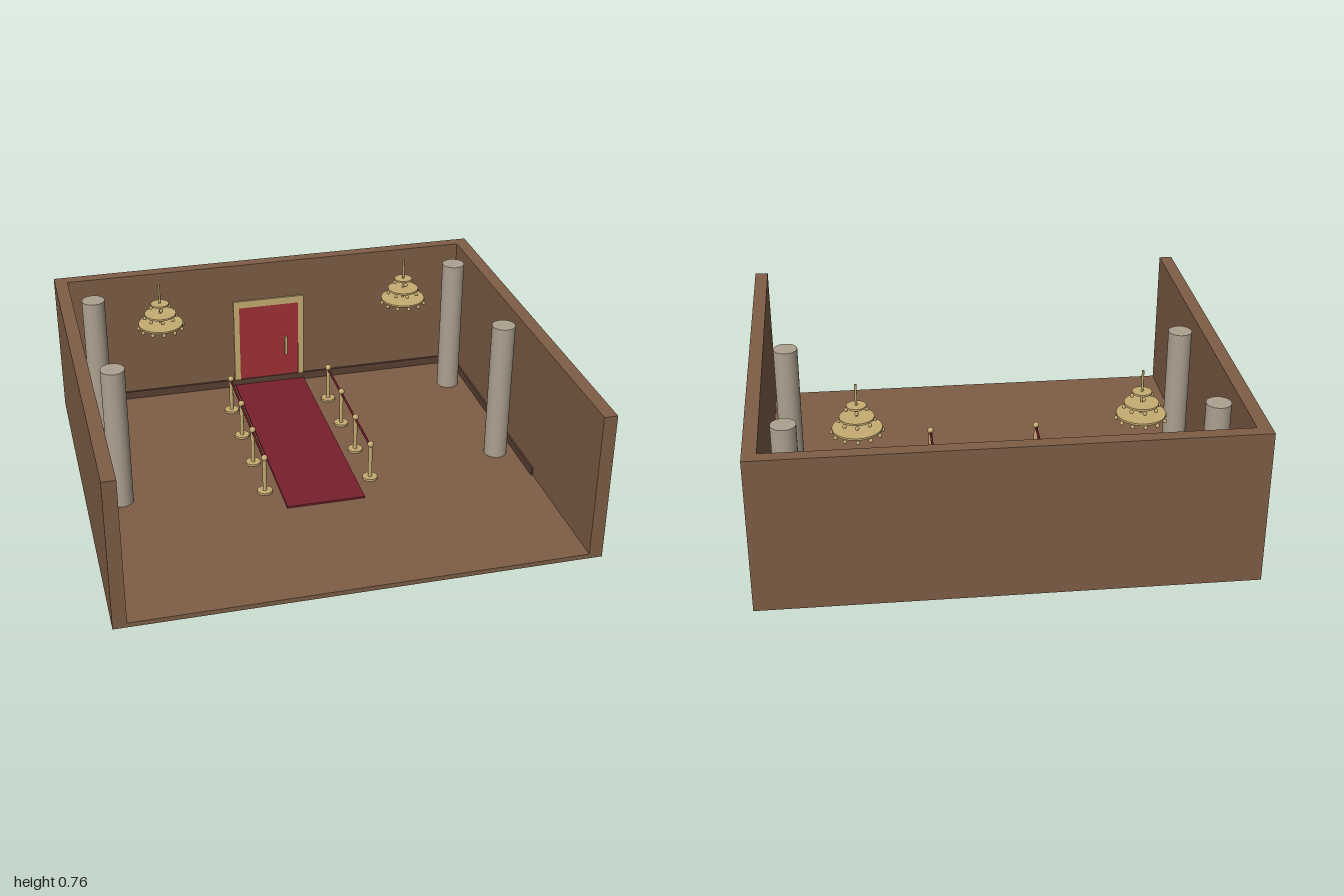
import * as THREE from 'three';

const mat = (name, color) => {
  const m = new THREE.MeshStandardMaterial({ color });
  m.name = name;
  return m;
};

export function createModel() {
  const brown = mat('wall brown', 0x7d5d46);
  const dark = mat('skirting brown', 0x593f31);
  const gold = mat('brass', 0xc6ac72);
  const stone = mat('pillar stone', 0xada190);
  const carpetRed = mat('carpet red', 0x78202c);
  const doorRed = mat('door red', 0x9f3136);
  const ropeRed = mat('rope red', 0x6b1a22);

  const model = new THREE.Group();
  model.name = 'entranceHall';

  const add = (parent, name, geometry, material, x, y, z) => {
    const mesh = new THREE.Mesh(geometry, material);
    mesh.name = name;
    mesh.position.set(x, y, z);
    parent.add(mesh);
    return mesh;
  };
  // Box given by its lower and upper limits on each axis
  const box = (parent, name, material, x0, x1, y0, y1, z0, z1) =>
    add(parent, name, new THREE.BoxGeometry(x1 - x0, y1 - y0, z1 - z0), material,
      (x0 + x1) / 2, (y0 + y1) / 2, (z0 + z1) / 2);
  // Upright cylinder standing on y0
  const post = (parent, name, material, r, x, y0, y1, z, seg = 20) =>
    add(parent, name, new THREE.CylinderGeometry(r, r, y1 - y0, seg), material, x, (y0 + y1) / 2, z);

  const floorY = 0.02, top = 0.66, depth = 0.905, inner = 0.943, back = -0.85;

  // Room shell, open at the front and above
  box(model, 'floor', brown, -inner, inner, 0, floorY, back, depth);
  box(model, 'backWall', brown, -1, 1, 0, top, -depth, back);
  box(model, 'backSkirting', dark, -inner, inner, floorY, 0.056, back, back + 0.01);
  for (const s of [-1, 1]) {
    const side = s < 0 ? 'right' : 'left';
    const span = (a, b) => (s < 0 ? [-b, -a] : [a, b]);
    box(model, side + 'Wall', brown, ...span(inner, 1), 0, top, back, depth);
    box(model, side + 'Skirting', dark, ...span(inner - 0.008, inner), floorY, 0.056, back + 0.01, 0.28);
    for (const z of [-0.63, 0.05]) post(model, side + 'Pillar', stone, 0.051, s * 0.85, floorY, top, z, 32);
  }

  // Carpet
  box(model, 'carpet', carpetRed, -0.172, 0.172, floorY, 0.028, back + 0.002, 0.28);

  // Door with frame and handle
  const door = new THREE.Group();
  door.name = 'door';
  model.add(door);
  box(door, 'doorPanel', doorRed, -0.145, 0.145, 0.05, 0.44, back, back + 0.005);
  box(door, 'frameTop', gold, -0.172, 0.172, 0.44, 0.475, back, back + 0.009);
  for (const s of [-1, 1])
    box(door, 'frameSide', gold, s * 0.1585 - 0.0135, s * 0.1585 + 0.0135, 0.05, 0.44, back, back + 0.009);
  box(door, 'handle', gold, 0.077, 0.088, 0.17, 0.265, back + 0.005, back + 0.018);

  // Two rows of rope barriers beside the carpet
  const postZ = [-0.61, -0.364, -0.118, 0.128];
  for (const s of [-1, 1]) {
    const row = new THREE.Group();
    row.name = s < 0 ? 'rightBarrier' : 'leftBarrier';
    row.position.x = s * 0.237;
    model.add(row);
    for (const z of postZ) {
      post(row, 'postBase', gold, 0.033, 0, floorY, 0.03, z, 24);
      post(row, 'postPole', gold, 0.009, 0, 0.03, 0.19, z, 12);
      add(row, 'postKnob', new THREE.SphereGeometry(0.014, 14, 10), gold, 0, 0.192, z);
    }
    for (let i = 0; i < 3; i++) {
      const rope = add(row, 'rope', new THREE.CylinderGeometry(0.005, 0.005, postZ[i + 1] - postZ[i], 10),
        ropeRed, 0, 0.182, (postZ[i] + postZ[i + 1]) / 2);
      rope.rotation.x = Math.PI / 2;
    }
  }

  // Chandeliers: thin discs on a rod, each with small lamps under its rim
  const tiers = [
    { r: 0.1, y: 0.567, lamps: 12 },
    { r: 0.07, y: 0.615, lamps: 8 },
    { r: 0.04, y: 0.663, lamps: 4 },
  ];
  for (const s of [-1, 1]) {
    const lamp = new THREE.Group();
    lamp.name = s < 0 ? 'rightChandelier' : 'leftChandelier';
    lamp.position.set(s * 0.567, 0, -0.513);
    model.add(lamp);
    post(lamp, 'rod', gold, 0.005, 0, 0.555, 0.757, 0, 10);
    for (const { r, y, lamps } of tiers) {
      post(lamp, 'tier', gold, r, 0, y - 0.004, y + 0.004, 0, 32);
      for (let i = 0; i < lamps; i++) {
        const a = (i / lamps) * Math.PI * 2;
        add(lamp, 'bulb', new THREE.SphereGeometry(0.0085, 10, 8), gold,
          Math.cos(a) * r, y - 0.014, Math.sin(a) * r);
      }
    }
  }
  return model;
}
